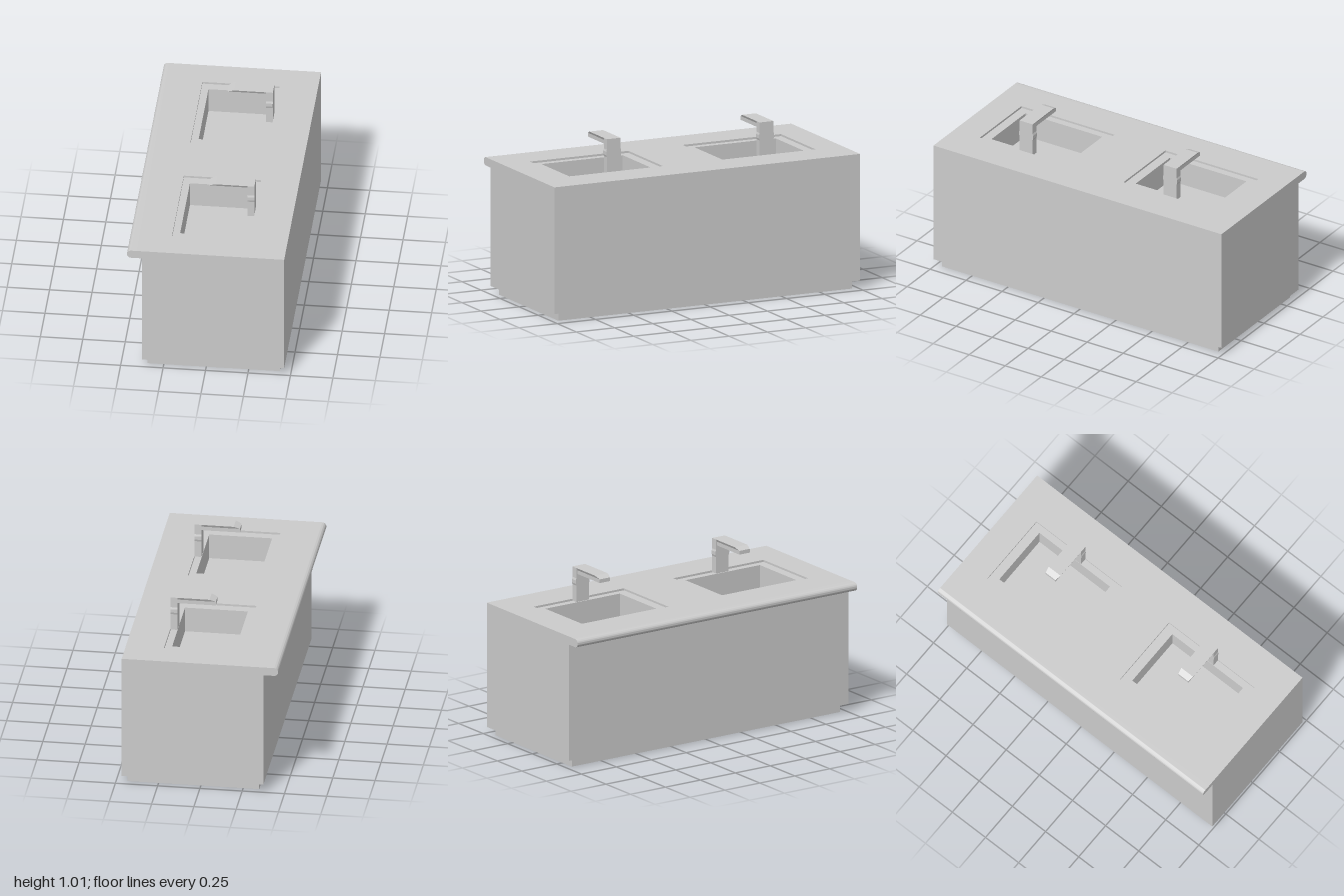
import * as THREE from 'three';
import { toCreasedNormals } from 'three/addons/utils/BufferGeometryUtils.js';

const material = new THREE.MeshStandardMaterial({ color: 0xcccccc });

function add(group, name, geometry) {
  const mesh = new THREE.Mesh(geometry, material);
  mesh.name = name;
  group.add(mesh);
  return mesh;
}

function block(x0, x1, y0, y1, z0, z1) {
  return new THREE.BoxGeometry(x1 - x0, y1 - y0, z1 - z0)
    .translate((x0 + x1) / 2, (y0 + y1) / 2, (z0 + z1) / 2);
}

function rectangle(PathType, x0, x1, z0, z1) {
  return new PathType([[x0, z0], [x1, z0], [x1, z1], [x0, z1]]
    .map(([x, z]) => new THREE.Vector2(x, z)));
}

// Horizontal layer of the cabinet with one rectangular opening per sink
function layer(y0, y1, x0, x1, z0, z1) {
  const shape = rectangle(THREE.Shape, -0.375, 0.463, -1, 1);
  shape.holes.push(rectangle(THREE.Path, x0, x1, z0, z1));
  shape.holes.push(rectangle(THREE.Path, x0, x1, -z1, -z0));
  return new THREE.ExtrudeGeometry(shape, { depth: y1 - y0, bevelEnabled: false })
    .rotateX(-Math.PI / 2).translate(0, y0, 0);
}

// Spout: narrow lower bar flaring out to a wider top plate
function spoutGeometry() {
  const sections = [
    { y: 0.97, x0: -0.028, x1: 0.202, h: 0.037 },
    { y: 0.993, x0: -0.028, x1: 0.202, h: 0.037 },
    { y: 1.008, x0: 0.008, x1: 0.238, h: 0.045 },
  ];
  const positions = [];
  const index = [];
  for (const { y, x0, x1, h } of sections) {
    positions.push(x0, y, h, x1, y, h, x1, y, -h, x0, y, -h);
  }
  for (let s = 0; s < 2; s++) {
    for (let i = 0; i < 4; i++) {
      const a = s * 4 + i, b = s * 4 + (i + 1) % 4;
      index.push(a, b, b + 4, a, b + 4, a + 4);
    }
  }
  index.push(0, 3, 2, 0, 2, 1, 8, 9, 10, 8, 10, 11);
  const geometry = new THREE.BufferGeometry();
  geometry.setAttribute('position', new THREE.Float32BufferAttribute(positions, 3));
  geometry.setIndex(index);
  return toCreasedNormals(geometry, 0.1);
}

// Post: flat upright with a slight swelling on both sides
function postGeometry() {
  const side = [[0.045, 0.8], [0.045, 0.9], [0.049, 0.912], [0.049, 0.933],
    [0.045, 0.945], [0.045, 1.008]];
  const outline = [...side, ...side.map(([z, y]) => [-z, y]).reverse()];
  const shape = new THREE.Shape(outline.map(([z, y]) => new THREE.Vector2(z, y)));
  return new THREE.ExtrudeGeometry(shape, { depth: 0.04, bevelEnabled: false })
    .rotateY(Math.PI / 2).translate(0.198, 0, 0);
}

function createTap() {
  const tap = new THREE.Group();
  tap.name = 'tap';
  add(tap, 'tapPost', postGeometry());
  add(tap, 'tapSpout', spoutGeometry());
  add(tap, 'tapNozzle', new THREE.CylinderGeometry(0.018, 0.018, 0.01, 16)
    .translate(0.003, 0.972, 0));
  return tap;
}

export function createModel() {
  const model = new THREE.Group();
  model.name = 'sinkCounter';

  // Recessed base and cabinet, its lower block forming the basin floors
  add(model, 'plinth', block(-0.345, 0.433, 0, 0.05, -0.96, 0.96));
  add(model, 'cabinet', block(-0.375, 0.463, 0.05, 0.645, -1, 1));
  add(model, 'basinWalls', layer(0.645, 0.798, -0.175, 0.197, 0.235, 0.767));
  add(model, 'counterRim', layer(0.798, 0.81, -0.217, 0.238, 0.177, 0.822));

  // Rounded overhanging edge of the counter
  const nose = new THREE.Shape();
  nose.moveTo(-0.375, 0.81);
  nose.lineTo(-0.438, 0.81);
  nose.absarc(-0.438, 0.785, 0.025, Math.PI / 2, Math.PI * 1.5, false);
  nose.lineTo(-0.375, 0.76);
  const noseGeometry = new THREE.ExtrudeGeometry(nose,
    { depth: 2, bevelEnabled: false, curveSegments: 16 }).translate(0, 0, -1);
  add(model, 'counterNose', toCreasedNormals(noseGeometry, 0.6));

  // One tap per sink
  for (const z of [-0.5, 0.5]) {
    const tap = createTap();
    tap.position.z = z;
    model.add(tap);
  }
  return model;
}
